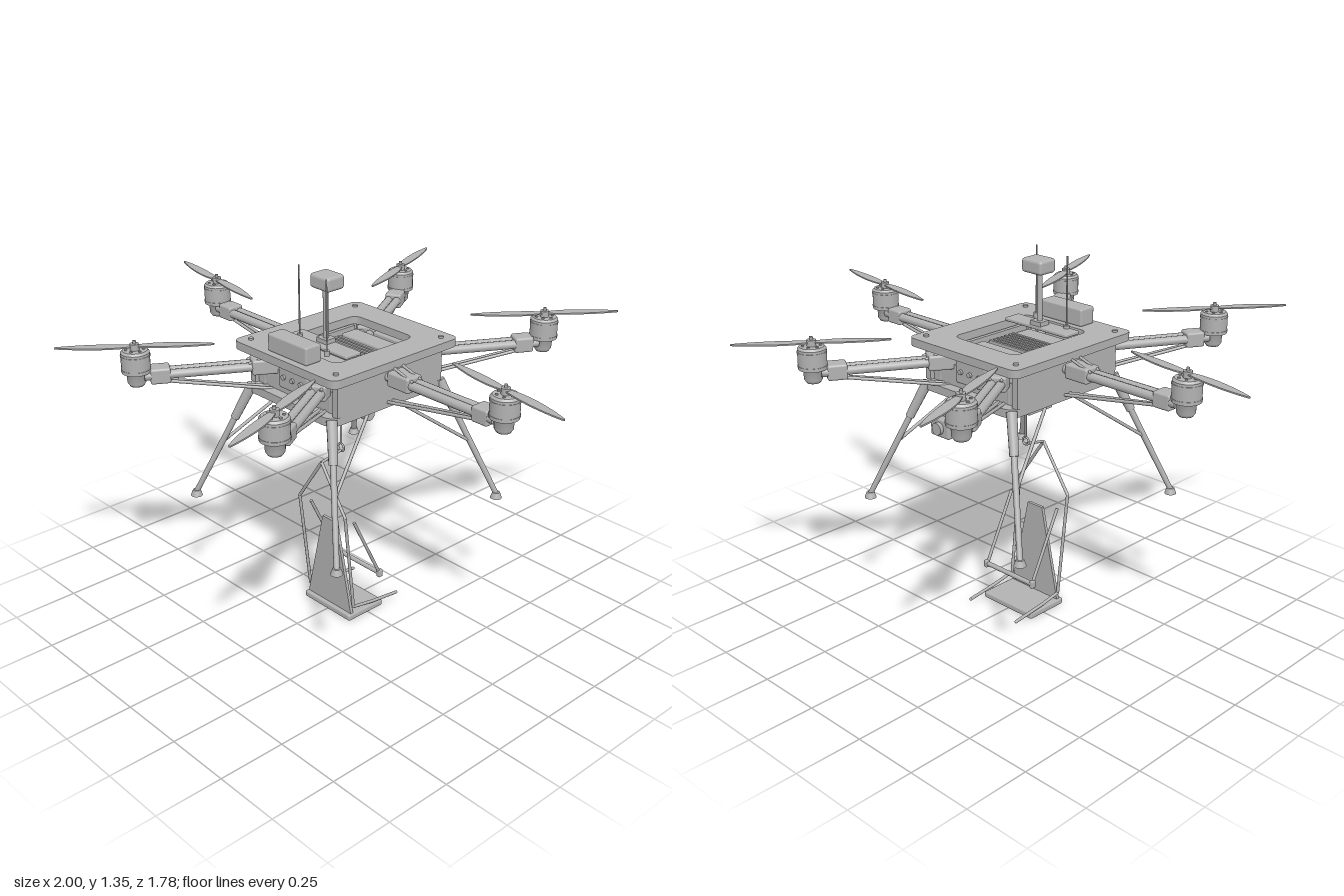
import * as THREE from 'three';
import { RoundedBoxGeometry } from 'three/addons/geometries/RoundedBoxGeometry.js';

const grey = new THREE.MeshStandardMaterial({ color: 0xb2b2b2 });
grey.name = 'plainGrey';

const V = (x, y, z) => new THREE.Vector3(x, y, z);

function add(parent, name, geo, x = 0, y = 0, z = 0) {
  const m = new THREE.Mesh(geo, grey);
  m.name = name;
  m.position.set(x, y, z);
  parent.add(m);
  return m;
}
function group(parent, name) {
  const g = new THREE.Group();
  g.name = name;
  parent.add(g);
  return g;
}
const box = (p, n, w, h, d, x, y, z) => add(p, n, new THREE.BoxGeometry(w, h, d), x, y, z);
const soft = (p, n, w, h, d, x, y, z, r = 0.008) =>
  add(p, n, new RoundedBoxGeometry(w, h, d, 2, r), x, y, z);
const cyl = (p, n, r, h, x, y, z, r2 = r) =>
  add(p, n, new THREE.CylinderGeometry(r, r2, h, 24), x, y, z);

// Round bar between two points; r1 at the start, r2 at the end
function rod(p, n, a, b, r1, r2 = r1) {
  const d = b.clone().sub(a);
  const m = add(p, n, new THREE.CylinderGeometry(r2, r1, d.length(), 12));
  m.position.copy(a).add(b).multiplyScalar(0.5);
  m.quaternion.setFromUnitVectors(V(0, 1, 0), d.normalize());
  return m;
}
// Bent bar with a joint at each corner
function bentRod(p, n, pts, r) {
  for (let i = 1; i < pts.length; i++) {
    rod(p, n, pts[i - 1], pts[i], r);
    add(p, n + 'Joint', new THREE.SphereGeometry(r, 10, 8), ...pts[i].toArray());
  }
}

// Outline of a rectangle with rounded corners
function roundRect(Type, w, d, r) {
  const s = new Type(), x = w / 2, y = d / 2;
  s.moveTo(-x + r, -y).lineTo(x - r, -y).quadraticCurveTo(x, -y, x, -y + r);
  s.lineTo(x, y - r).quadraticCurveTo(x, y, x - r, y);
  s.lineTo(-x + r, y).quadraticCurveTo(-x, y, -x, y - r);
  s.lineTo(-x, -y + r).quadraticCurveTo(-x, -y, -x + r, -y);
  return s;
}
// Horizontal plate whose upper face is at yTop
function plate(p, n, shape, h, yTop) {
  const m = add(p, n, new THREE.ExtrudeGeometry(shape, { depth: h, bevelEnabled: false }), 0, yTop, 0);
  m.rotation.x = Math.PI / 2;
  return m;
}

function bladeShape() {
  const s = new THREE.Shape();
  s.moveTo(0.01, -0.01);
  s.bezierCurveTo(0.07, -0.03, 0.17, -0.026, 0.268, -0.004);
  s.quadraticCurveTo(0.272, 0.002, 0.264, 0.004);
  s.bezierCurveTo(0.18, 0.02, 0.08, 0.02, 0.01, 0.01);
  return s;
}

function buildArm(root, angle, propAngle) {
  const arm = group(root, 'rotorArm');
  arm.rotation.y = -angle;
  // Twin main tubes with clamps
  for (const s of [-1, 1]) {
    rod(arm, 'armTube', V(0.17, 1.005, s * 0.016), V(0.71, 1.005, s * 0.016), 0.016);
    rod(arm, 'lowerStrut', V(0.21, 0.905, s * 0.012), V(0.68, 0.985, s * 0.006), 0.006);
    rod(arm, 'upperStrut', V(0.25, 1.05, s * 0.02), V(0.35, 1.02, s * 0.02), 0.005);
  }
  soft(arm, 'armRootClamp', 0.1, 0.055, 0.07, 0.29, 1.005, 0);
  soft(arm, 'armEndClamp', 0.07, 0.056, 0.064, 0.655, 1.003, 0);
  // Motor pod
  const pod = group(arm, 'motorPod');
  pod.position.x = 0.735;
  const cup = [[0, 0.968], [0.024, 0.968], [0.032, 0.98], [0.034, 1.018], [0.047, 1.018]];
  add(pod, 'motorMount', new THREE.LatheGeometry(cup.map(q => new THREE.Vector2(...q)), 24));
  cyl(pod, 'motorCan', 0.05, 0.072, 0, 1.054, 0);
  cyl(pod, 'motorTop', 0.043, 0.008, 0, 1.094, 0, 0.05);
  for (const y of [1.028, 1.078]) cyl(pod, 'motorBand', 0.0515, 0.006, 0, y, 0);
  for (let i = 0; i < 6; i++) {
    const a = i * Math.PI / 3;
    cyl(pod, 'motorBolt', 0.005, 0.004, 0.03 * Math.cos(a), 1.1, 0.03 * Math.sin(a));
  }
  // Two-bladed propeller
  const prop = group(pod, 'propeller');
  prop.rotation.y = angle - propAngle;
  cyl(prop, 'propellerHub', 0.016, 0.022, 0, 1.109, 0);
  cyl(prop, 'propellerNut', 0.006, 0.03, 0, 1.116, 0);
  for (const turn of [0, Math.PI]) {
    const half = group(prop, 'bladeHalf');
    half.rotation.y = turn;
    plate(half, 'blade', bladeShape(), 0.005, 1.113);
  }
}

function buildBody(root) {
  const body = group(root, 'body');
  // Open top frame and lower deck
  const top = roundRect(THREE.Shape, 0.526, 0.596, 0.035);
  top.holes.push(roundRect(THREE.Path, 0.3, 0.37, 0.035));
  plate(body, 'topFrame', top, 0.03, 1.075);
  plate(body, 'bottomPlate', roundRect(THREE.Shape, 0.45, 0.55, 0.05), 0.03, 0.918);
  box(body, 'coreBox', 0.4, 0.08, 0.47, 0, 0.957, 0);
  for (const s of [-1, 1]) {
    box(body, 'sidePanel', 0.025, 0.128, 0.5, s * 0.215, 0.982, 0);
    soft(body, 'endBox', 0.15, 0.09, 0.05, 0, 0.985, s * 0.225);
    for (const t of [-1, 1]) {
      cyl(body, 'frameBolt', 0.009, 0.008, s * 0.22, 1.078, t * 0.25);
      cyl(body, 'cornerPost', 0.012, 0.14, s * 0.17, 0.98, t * 0.225);
    }
    for (let i = -1; i <= 1; i++) {
      const port = cyl(body, 'endPort', 0.009, 0.012, i * 0.045, 0.985, s * 0.252);
      port.rotation.x = Math.PI / 2;
    }
  }
  // Recessed deck with cooling slats
  soft(body, 'innerDeck', 0.25, 0.04, 0.34, 0, 1.01, 0);
  soft(body, 'deckCover', 0.22, 0.02, 0.075, 0, 1.035, -0.115);
  for (let i = 0; i < 7; i++) box(body, 'coolingSlat', 0.2, 0.016, 0.01, 0, 1.036, -0.055 + i * 0.019);
  for (const s of [-1, 1]) box(body, 'deckRail', 0.016, 0.03, 0.32, s * 0.132, 1.035, 0);
  // Front bridge, sensor box, mast and antennas
  soft(body, 'frontBridge', 0.3, 0.014, 0.07, 0, 1.082, 0.105, 0.005);
  soft(body, 'sensorBox', 0.2, 0.066, 0.07, 0, 1.107, 0.24);
  box(body, 'mastFoot', 0.05, 0.02, 0.045, 0, 1.095, 0.095);
  cyl(body, 'mast', 0.01, 0.21, 0, 1.19, 0.095);
  soft(body, 'mastHead', 0.096, 0.052, 0.08, 0, 1.308, 0.088, 0.012);
  for (const [x, z] of [[-0.1, 0.128], [0.085, 0.168]]) {
    cyl(body, 'antennaBase', 0.01, 0.02, x, 1.09, z);
    cyl(body, 'antenna', 0.003, 0.26, x, 1.22, z);
  }
  // Rear hanging camera
  const cam = group(body, 'rearCamera');
  box(cam, 'cameraBracket', 0.05, 0.02, 0.1, 0, 0.895, -0.29);
  soft(cam, 'cameraYoke', 0.06, 0.034, 0.065, 0, 0.87, -0.337);
  soft(cam, 'cameraBody', 0.09, 0.068, 0.066, 0, 0.832, -0.365);
  for (const s of [-1, 1]) cyl(cam, 'cameraPivot', 0.016, 0.02, s * 0.052, 0.832, -0.365).rotation.z = Math.PI / 2;
  cyl(cam, 'cameraLens', 0.022, 0.02, 0, 0.832, -0.402).rotation.x = Math.PI / 2;
}

function buildLegs(root) {
  for (const sx of [-1, 1]) for (const sz of [-1, 1]) {
    const leg = group(root, 'landingLeg');
    const P = (x, y, z) => V(sx * x, y, sz * z);
    const hip = P(0.21, 0.91, 0.26), foot = P(0.385, 0.465, 0.4);
    rod(leg, 'legTube', hip, foot, 0.012, 0.01);
    rod(leg, 'legSleeve', hip, hip.clone().lerp(foot, 0.3), 0.019, 0.016);
    rod(leg, 'legBrace', P(0.18, 0.89, 0.05), P(0.303, 0.675, 0.333), 0.006);
    cyl(leg, 'legFoot', 0.014, 0.022, sx * 0.385, 0.461, sz * 0.4, 0.022);
  }
}

function buildWinch(root) {
  const w = group(root, 'winch');
  const z = 0.025;
  const across = (n, r, len, x) => { cyl(w, n, r, len, x, 0.838, z).rotation.z = Math.PI / 2; };
  across('winchDrum', 0.032, 0.14, 0);
  for (let i = 0; i < 9; i++) across('cableTurn', 0.039, 0.008, -0.052 + i * 0.013);
  for (const s of [-1, 1]) box(w, 'winchCheek', 0.012, 0.095, 0.118, s * 0.068, 0.843, z);
  across('winchMotor', 0.023, 0.08, 0.11);
  // Cable, ring and hook
  rod(w, 'cable', V(0, 0.82, z), V(0, 0.675, z), 0.004);
  add(w, 'cableRing', new THREE.TorusGeometry(0.015, 0.004, 8, 20), 0, 0.66, z);
}

function buildSwing(root) {
  const g = group(root, 'hangingSeat');
  rod(g, 'hangerLink', V(0, 0.648, 0.025), V(0, 0.63, 0.12), 0.005);
  for (const s of [-1, 1]) {
    bentRod(g, 'hangerBar', [V(0, 0.63, 0.12), V(s * 0.124, 0.45, 0.12), V(s * 0.121, 0.055, 0.075),
      V(s * 0.121, 0.038, -0.02), V(s * 0.121, 0.023, -0.15)], 0.006);
    rod(g, 'lapBarArm', V(s * 0.118, 0.41, 0.07), V(s * 0.118, 0.145, -0.062), 0.006);
    soft(g, 'lapBarEnd', 0.016, 0.03, 0.022, s * 0.12, 0.145, -0.062, 0.005);
  }
  rod(g, 'lapBar', V(-0.12, 0.145, -0.062), V(0.12, 0.145, -0.062), 0.009);
  soft(g, 'seatBase', 0.25, 0.026, 0.175, 0, 0.013, 0.013);
  // Tapered backrest
  const back = new THREE.Shape([[-0.118, 0.025], [0.118, 0.025], [0.036, 0.385], [-0.036, 0.385]]
    .map(q => new THREE.Vector2(...q)));
  add(g, 'backrest', new THREE.ExtrudeGeometry(back, { depth: 0.012, bevelEnabled: false }), 0, 0, 0.074);
}

export function createModel() {
  const root = new THREE.Group();
  root.name = 'rescueDrone';
  buildBody(root);
  [0.16, 1.2, -0.9, 0.16, 1.2, -0.89].forEach((p, i) => buildArm(root, i * Math.PI / 3, p));
  buildLegs(root);
  buildWinch(root);
  buildSwing(root);
  return root;
}
